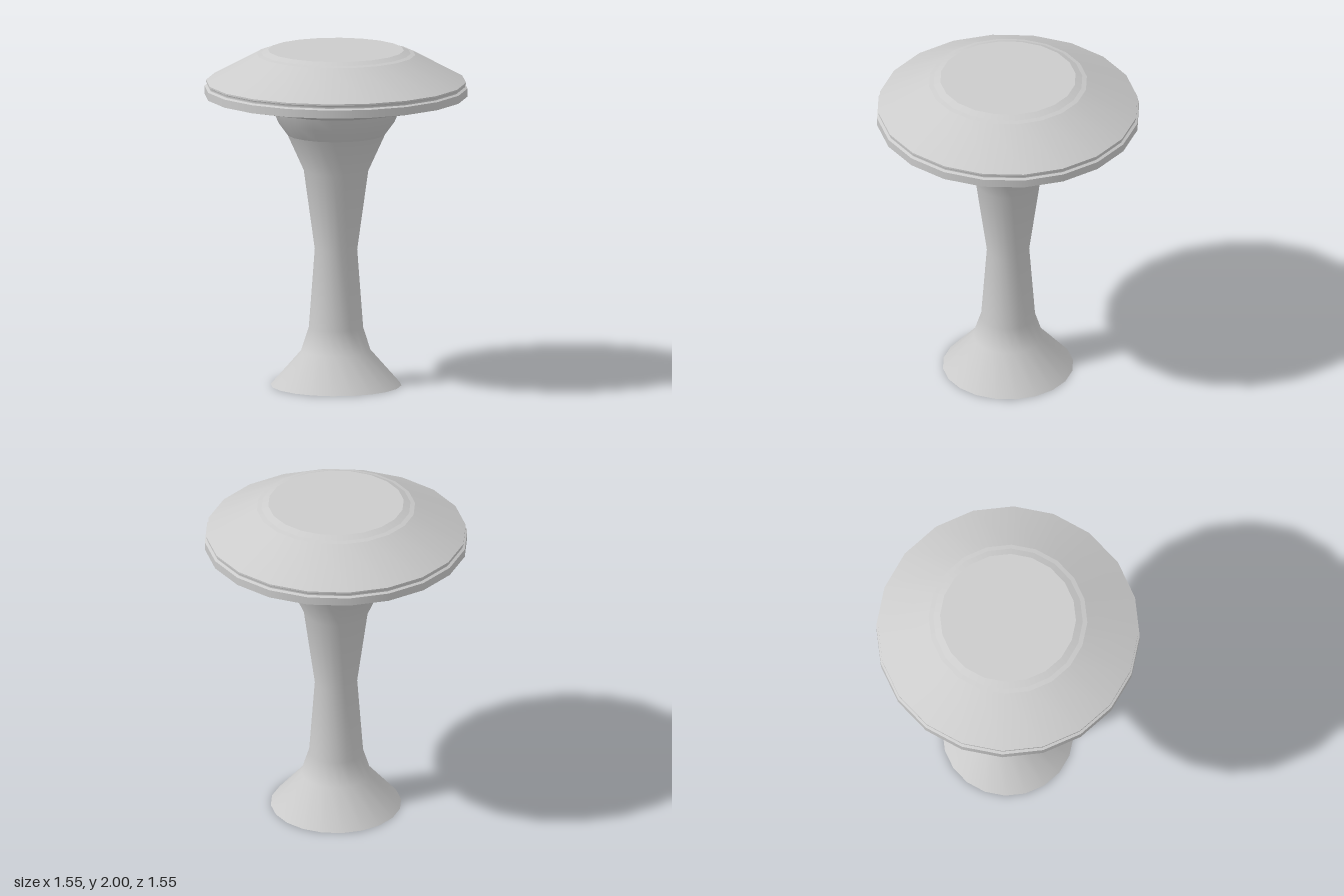
import * as THREE from 'three';

const SIDES = 20;

export function createModel() {
  const group = new THREE.Group();
  const material = new THREE.MeshStandardMaterial({ color: 0xcccccc });

  // One smooth band of the turned body; edges between bands stay sharp.
  // Profiles run [radius, height] from the bottom centre, outward and up.
  const band = (name, profile) => {
    const points = profile.map(([r, y]) => new THREE.Vector2(r, y));
    const mesh = new THREE.Mesh(new THREE.LatheGeometry(points, SIDES), material);
    mesh.name = name;
    group.add(mesh);
  };

  // Pedestal: flat foot, waisted stem and flared collar
  band('footUnderside', [[0, 0], [0.385, 0]]);
  band('stem', [[0.385, 0], [0.205, 0.205], [0.16, 0.345], [0.125, 0.81], [0.19, 1.28], [0.29, 1.5]]);
  band('collar', [[0.29, 1.5], [0.345, 1.575], [0.375, 1.645]]);

  // Wide cap: shallow underside, rim with a thin groove, sloped roof, flat top
  band('capUnderside', [[0.375, 1.645], [0.775, 1.73]]);
  band('rim', [[0.775, 1.73], [0.775, 1.778]]);
  band('grooveFloor', [[0.775, 1.778], [0.76, 1.786]]);
  band('groove', [[0.76, 1.786], [0.758, 1.798], [0.766, 1.803]]);
  band('upperLip', [[0.766, 1.803], [0.766, 1.813]]);
  band('roof', [[0.766, 1.813], [0.467, 1.975]]);
  band('topBevel', [[0.467, 1.975], [0.44, 1.982]]);
  band('topSlope', [[0.44, 1.982], [0.4, 2]]);
  band('topDisc', [[0.4, 2], [0, 2]]);

  return group;
}
